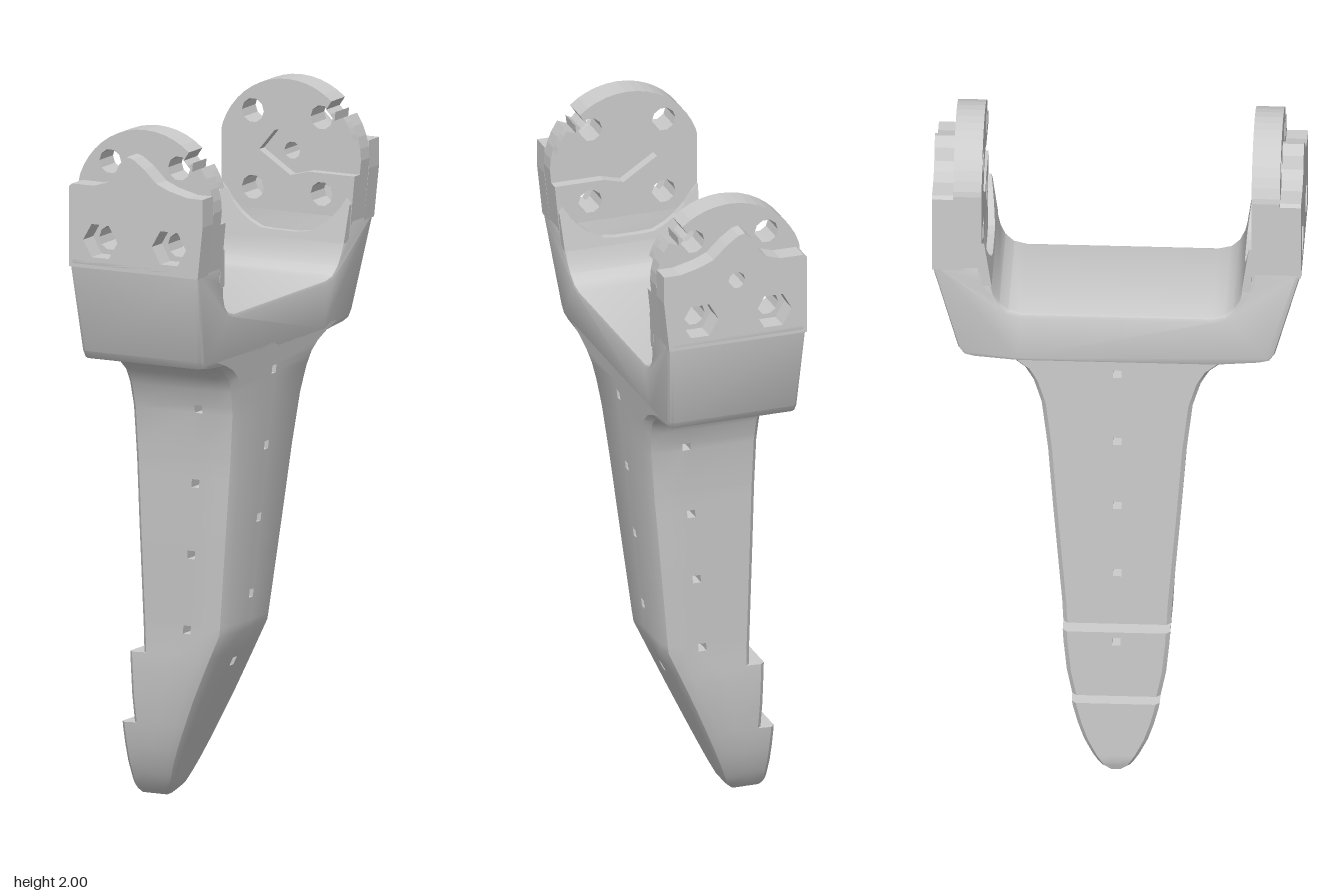
import * as THREE from 'three';
import { toCreasedNormals } from 'three/addons/utils/BufferGeometryUtils.js';

const material = new THREE.MeshStandardMaterial({ color: 0xcccccc });

// Piecewise linear lookup in a list of [y, value] pairs
function lookup(table, y) {
  if (y <= table[0][0]) return table[0][1];
  for (let i = 1; i < table.length; i++) {
    const [y0, v0] = table[i - 1], [y1, v1] = table[i];
    if (y <= y1) return v0 + (v1 - v0) * (y - y0) / (y1 - y0);
  }
  return table[table.length - 1][1];
}

// Outline of the blade: half width, front edge and the stepped back edge
const HALF = [[0, 0.015], [0.015, 0.04], [0.05, 0.065], [0.1, 0.09], [0.15, 0.107], [0.2, 0.12], [0.3, 0.14], [0.4, 0.15], [0.5, 0.155],
  [0.8, 0.18], [1, 0.195], [1.15, 0.213], [1.22, 0.235], [1.26, 0.257], [1.29, 0.295], [1.31, 0.34], [1.33, 0.4]];
const FRONT = [[0, -0.15], [0.03, -0.12], [0.07, -0.1], [0.5, 0.1], [1.3, 0.19], [1.75, 0.238]];
const BACK = [[0, -0.23], [0.03, -0.24], [0.22, -0.24], [0.222, -0.2], [0.43, -0.2], [0.432, -0.155]];
const X_HOLES = [0.4, 0.6, 0.82, 1.03, 1.25];
const Z_HOLES = [0.51, 0.73, 0.94, 1.16];
const R = 0.012;

// One cross-section of the blade, with columns reserved for the pin holes
function section(y) {
  const h = lookup(HALF, y), f = lookup(FRONT, y), b = lookup(BACK, y);
  const c = Math.min(0.045, 0.3 * h, 0.3 * (f - b)), e = Math.min(0.012, 0.2 * h), r = Math.min(R, 0.3 * h);
  const hx = y > 0.45 ? -0.01 + (y - 0.51) * 0.107 : (b + f - c) / 2;
  return [
    [b, e - h], [b, -r], [b, r], [b, h - e],
    [b + e, h], [hx - r, h], [hx + r, h], [f - c, h], [f - 0.3 * c, h - 0.3 * c],
    [f, h - c], [f, r], [f, -r], [f, c - h], [f - 0.3 * c, 0.3 * c - h],
    [f - c, -h], [hx + r, -h], [hx - r, -h], [b + e, -h],
  ].map(([x, z]) => [x, y, z]);
}

// Lofted blade with square pin holes running through it
function bladeGeometry() {
  const rows = [...HALF, ...FRONT, ...BACK].map((p) => p[0]).filter((y) => y <= 1.33);
  for (const y of [...X_HOLES, ...Z_HOLES]) rows.push(y - R, y + R);
  const inHole = (y, a, b) => y > a - R + 1e-6 && y < b + R - 1e-6;
  const ys = [...new Set(rows)].sort((a, b) => a - b)
    .filter((y) => ![...X_HOLES, ...Z_HOLES].some((h) => inHole(y, h, h)));
  const rings = ys.map(section), n = rings[0].length, out = [];
  const tri = (...p) => p.forEach((q) => out.push(...q));
  const quad = (a, b, c, d) => { tri(a, b, c); tri(a, c, d); };
  for (let j = 0; j < rings.length - 1; j++) {
    const lo = rings[j], hi = rings[j + 1], mid = (ys[j] + ys[j + 1]) / 2;
    const at = (list) => list.some((h) => Math.abs(h - mid) < 1e-4);
    const start = at(X_HOLES) ? 1 : at(Z_HOLES) ? 5 : -1;
    const end = start === 1 ? 10 : 15;
    for (let i = 0; i < n; i++) {
      if (start > 0 && (i === start || i === end)) continue;
      const k = (i + 1) % n;
      quad(lo[i], lo[k], hi[k], hi[i]);
    }
    if (start > 0) {
      const A = [lo[start], lo[start + 1], hi[start + 1], hi[start]];
      const B = [lo[end + 1], lo[end], hi[end], hi[end + 1]];
      for (let k = 0; k < 4; k++) quad(A[k], A[(k + 1) % 4], B[(k + 1) % 4], B[k]);
    }
  }
  for (let i = 1; i < n - 1; i++) tri(rings[0][0], rings[0][i + 1], rings[0][i]);
  const g = new THREE.BufferGeometry();
  g.setAttribute('position', new THREE.Float32BufferAttribute(out, 3));
  return toCreasedNormals(g, 0.5);
}

const shapeOf = (pts) => new THREE.Shape(pts.map(([x, y]) => new THREE.Vector2(x, y)));

// U-shaped bridge joining the two arms; its front follows the slope of the blade
function bridgeGeometry() {
  const half = [[0.28, 1.305], [0.4, 1.315], [0.43, 1.322], [0.446, 1.345], [0.52, 1.61], [0.52, 1.62], [0.38, 1.62],
    [0.375, 1.57], [0.352, 1.55], [0.345, 1.52], [0.33, 1.49], [0.305, 1.468], [0.27, 1.46]];
  const mirrored = half.map(([z, y]) => [-z, y]).reverse();
  const bevel = 0.012, depth = 0.38;
  const g = new THREE.ExtrudeGeometry(shapeOf([...half, ...mirrored]), {
    depth: depth - 2 * bevel, bevelSize: bevel, bevelThickness: bevel, bevelOffset: -bevel, bevelSegments: 2,
  });
  g.rotateY(Math.PI / 2).translate(bevel - 0.19, 0, 0);
  const p = g.attributes.position;
  for (let i = 0; i < p.count; i++) {
    if (p.getX(i) > 0) p.setX(i, p.getX(i) + lookup(FRONT, p.getY(i)) - (depth - 0.19));
  }
  return toCreasedNormals(g, 0.5);
}

// Round end of an arm
const CX = 0.02, CY = 1.78, RAD = 0.22;
const polar = (deg, r = RAD) => [CX + r * Math.cos(deg * Math.PI / 180), CY + r * Math.sin(deg * Math.PI / 180)];
function arc(from, to, steps) {
  return Array.from({ length: steps + 1 }, (_, i) => polar(from + (to - from) * i / steps));
}
const discTop = (from) => [...arc(from, 35, 4), polar(37, 0.19), polar(42, 0.208), polar(43, 0.19), polar(49, 0.19),
  ...arc(50, 160, 14), [-0.19, 1.84]];
const BOTTOM = [[-0.19, 1.6], [0.222, 1.6]];
const UPPER = [[-0.09, 1.9], [0.13, 1.9]], LOWER = [[-0.09, 1.68], [0.13, 1.68]];

function ngon(x, y, r, n) {
  return new THREE.Path(Array.from({ length: n }, (_, i) =>
    new THREE.Vector2(x + r * Math.cos(i / n * 2 * Math.PI), y + r * Math.sin(i / n * 2 * Math.PI))));
}

function layer(name, pts, holes, z0, z1) {
  const shape = shapeOf(pts);
  shape.holes.push(...holes);
  const g = new THREE.ExtrudeGeometry(shape, { depth: z1 - z0, bevelEnabled: false });
  g.translate(0, 0, z0);
  const mesh = new THREE.Mesh(g, material);
  mesh.name = name;
  return mesh;
}

function arm(name, axleHole) {
  const group = new THREE.Group();
  group.name = name;
  const bolts = (list) => list.map(([x, y]) => ngon(x, y, 0.035, 10));
  const axle = () => (axleHole ? [ngon(CX, 1.79, 0.025, 10)] : []);
  // Inner face with a keyed channel opening at the front edge
  const channel = [[0.236, 1.74], [0.09, 1.74], [0.03, 1.725], [-0.07, 1.79], [-0.02, 1.85], [0.05, 1.86], [0.1, 1.84]];
  group.add(layer('channelPlate', [...BOTTOM, ...channel, ...discTop(16)], bolts([...UPPER, ...LOWER]), 0.38, 0.41));
  group.add(layer('discPlate', [...BOTTOM, ...discTop(0)], [...bolts([...UPPER, ...LOWER]), ...axle()], 0.41, 0.46));
  // Outer plate with a central peak and hexagonal bolt pockets
  const crown = [[0.238, 1.75], [0.238, 1.83], [0.19, 1.83], [0.13, 1.845], [0.09, 1.862], [0.05, 1.9], [0.015, 1.925], [-0.005, 1.93],
    [-0.03, 1.905], [-0.045, 1.87], [-0.07, 1.85], [-0.11, 1.838], [-0.18, 1.838], [-0.19, 1.83]];
  const pockets = LOWER.map(([x, y]) => ngon(x, y, 0.055, 6));
  group.add(layer('outerPlate', [...BOTTOM, ...crown], [...pockets, ...axle()], 0.46, 0.52));
  // Tapered lining below the disc
  const edge = arc(-150, -28, 12).reverse().map(([x, y]) => [x, Math.max(y, 1.57)]);
  const lining = layer('lining', [[-0.19, 1.55], [0.216, 1.55], [0.226, 1.66], ...edge, [-0.19, 1.69]], [], 0.35, 0.381);
  const p = lining.geometry.attributes.position;
  for (let i = 0; i < p.count; i++) {
    if (p.getZ(i) < 0.36) p.setZ(i, 0.352 + (p.getY(i) - 1.55) * 0.15);
  }
  lining.geometry.computeVertexNormals();
  group.add(lining);
  return group;
}

export function createModel() {
  const model = new THREE.Group();
  model.name = 'forkedFinger';
  const blade = new THREE.Mesh(bladeGeometry(), material);
  blade.name = 'blade';
  const bridge = new THREE.Mesh(bridgeGeometry(), material);
  bridge.name = 'bridge';
  const backArm = arm('backArm', true);
  backArm.scale.z = -1;
  model.add(blade, bridge, arm('frontArm', false), backArm);
  return model;
}
